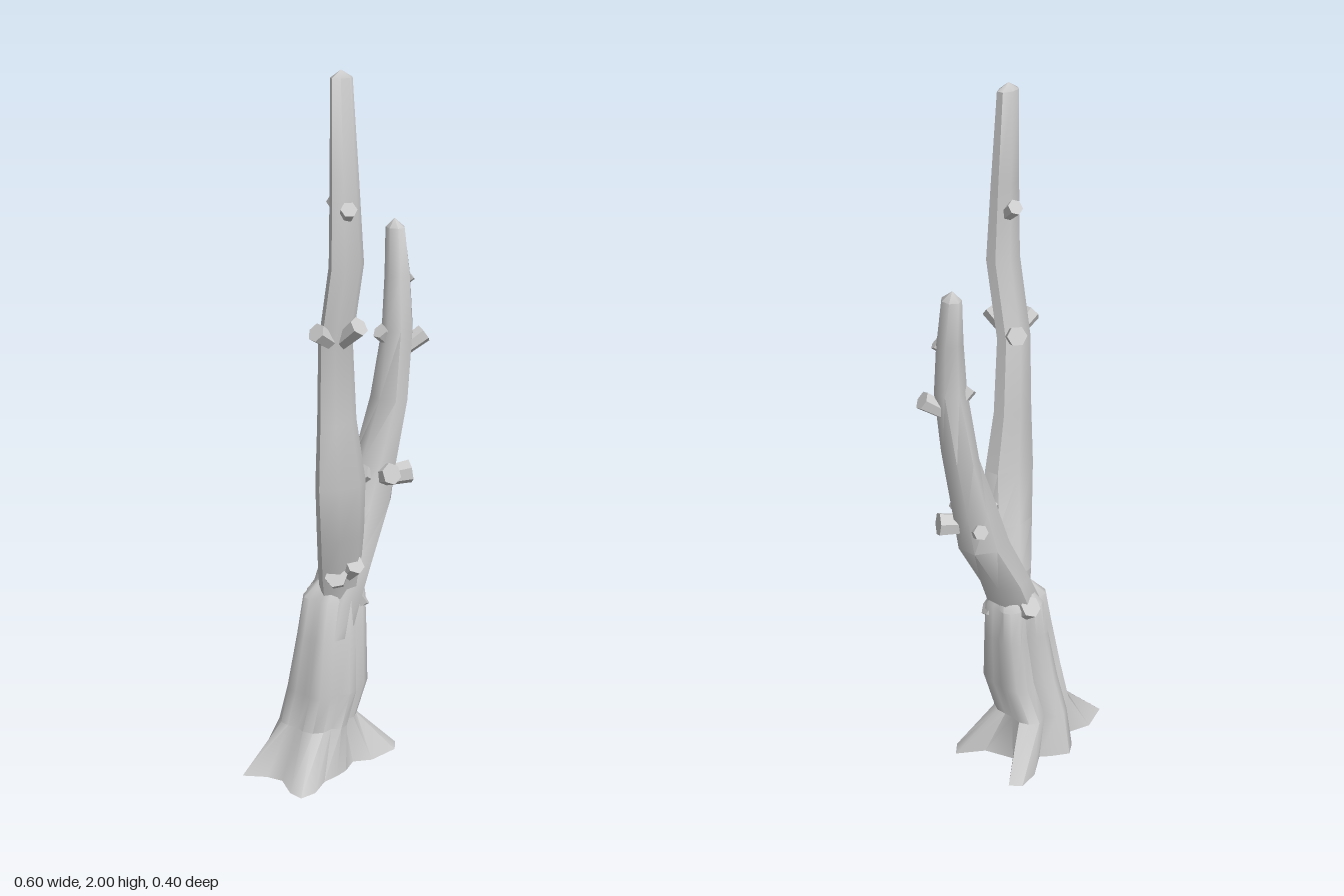
import * as THREE from 'three';
import { toCreasedNormals } from 'three/addons/utils/BufferGeometryUtils.js';

const bark = new THREE.MeshStandardMaterial({ color: 0xcccccc, side: THREE.DoubleSide });

// Skins a stack of closed rings (bottom to top) and closes the top to a point.
function loft(rings, top, crease) {
  const n = rings[0].length, pos = [], index = [];
  rings.forEach(r => r.forEach(p => pos.push(...p)));
  const t = pos.length / 3, last = t - n;
  pos.push(...top);
  for (let i = 0; i < n; i++) {
    const k = (i + 1) % n;
    for (let o = 0; o < last; o += n) {
      const u = o + n;
      index.push(o + i, u + i, o + k, o + k, u + i, u + k);
    }
    index.push(last + i, t, last + k);
  }
  const g = new THREE.BufferGeometry();
  g.setAttribute('position', new THREE.Float32BufferAttribute(pos, 3));
  g.setIndex(index);
  return toCreasedNormals(g, crease);
}

function add(group, name, geometry) {
  const m = new THREE.Mesh(geometry, bark);
  m.name = name;
  group.add(m);
  return m;
}

// Ground outline of the spreading roots: x, z, and how far the rib stands out above.
const ROOTS = [
  [0.1, 0.0, 0.92], [0.177, 0.045, 1], [0.145, 0.08, 1], [0.05, 0.09, 0.92],
  [0.0, 0.065, 0.72], [-0.05, 0.095, 0.92], [-0.09, 0.105, 0.96], [-0.14, 0.11, 0.86],
  [-0.2, 0.145, 1], [-0.25, 0.145, 1.05], [-0.255, 0.1, 1], [-0.23, 0.03, 0.86],
  [-0.25, -0.015, 0.94], [-0.3, -0.065, 1], [-0.22, -0.105, 0.97], [-0.135, -0.088, 0.76],
  [-0.12, -0.14, 0.95], [-0.085, -0.17, 1], [-0.035, -0.145, 0.94], [-0.005, -0.125, 0.74],
  [0.06, -0.18, 1], [0.12, -0.197, 1.05], [0.15, -0.17, 1.02], [0.06, -0.08, 0.9],
];

// Trunk levels: y, centre x, centre z, radius x, radius z
const TRUNK = [
  [0.13, -0.056, -0.03, 0.113, 0.116],
  [0.24, -0.04, -0.005, 0.121, 0.11],
  [0.4, -0.022, -0.007, 0.107, 0.088],
  [0.51, -0.01, -0.011, 0.094, 0.082],
  [0.56, 0.0, -0.005, 0.055, 0.05],
];

function trunkGeometry() {
  const rings = [ROOTS.map(([x, z]) => [x, 0, z])];
  for (const [y, cx, cz, rx, rz] of TRUNK) {
    rings.push(ROOTS.map(([, , w], i) => {
      const a = (i / ROOTS.length) * Math.PI * 2;
      return [cx + Math.cos(a) * rx * w, y, cz + Math.sin(a) * rz * w];
    }));
  }
  return loft(rings, [0, 0.58, -0.005], 0.8);
}

// Limb levels: y, centre x, centre z, radius x, radius z
const TALL = [
  [0.48, -0.005, 0.01, 0.06, 0.045], [0.58, -0.022, 0.03, 0.068, 0.048],
  [0.72, -0.052, 0.072, 0.076, 0.05], [0.88, -0.075, 0.1, 0.081, 0.049],
  [1.06, -0.085, 0.097, 0.062, 0.039], [1.28, -0.094, 0.103, 0.054, 0.034],
  [1.5, -0.095, 0.15, 0.054, 0.034], [1.72, -0.09, 0.135, 0.045, 0.027],
  [1.98, -0.085, 0.116, 0.034, 0.021],
];
const SHORT = [
  [0.4, -0.04, 0.015, 0.065, 0.062], [0.5, -0.008, -0.002, 0.077, 0.078],
  [0.6, 0.035, -0.007, 0.07, 0.08], [0.75, 0.115, -0.018, 0.077, 0.066],
  [0.88, 0.148, -0.017, 0.064, 0.064], [1.05, 0.195, -0.018, 0.046, 0.063],
  [1.25, 0.208, 0.002, 0.046, 0.044], [1.4, 0.222, -0.017, 0.037, 0.037],
  [1.53, 0.227, -0.035, 0.026, 0.03],
];

function limbGeometry(levels, tip) {
  const sides = 7;
  const rings = levels.map(([y, cx, cz, rx, rz]) =>
    Array.from({ length: sides }, (_, i) => {
      const a = ((i + 0.3) / sides) * Math.PI * 2;
      return [cx + Math.cos(a) * rx, y, cz + Math.sin(a) * rz];
    }));
  return loft(rings, tip, 0.95);
}

// Broken twig stubs: start, end, end radius
const STUBS = [
  [[-0.09, 1.62, 0.14], [-0.115, 1.655, 0.186], 0.022],
  [[-0.09, 1.62, 0.14], [-0.085, 1.665, 0.085], 0.022],
  [[-0.09, 1.28, 0.11], [-0.075, 1.34, 0.18], 0.028],
  [[-0.1, 1.28, 0.11], [-0.168, 1.325, 0.115], 0.027],
  [[-0.085, 1.28, 0.1], [-0.05, 1.315, 0.035], 0.028],
  [[-0.03, 0.56, 0.03], [-0.07, 0.6, 0.075], 0.032],
  [[-0.02, 0.57, 0.03], [-0.018, 0.63, 0.095], 0.03],
  [[0.02, 0.46, 0.0], [0.065, 0.495, 0.028], 0.033],
  [[0.0, 0.46, -0.02], [0.0, 0.52, -0.088], 0.032],
  [[0.14, 0.82, -0.02], [0.135, 0.855, 0.068], 0.032],
  [[0.15, 0.82, -0.01], [0.235, 0.832, 0.03], 0.034],
  [[0.14, 0.81, -0.01], [0.072, 0.855, 0.003], 0.03],
  [[0.16, 0.81, -0.03], [0.175, 0.835, -0.083], 0.022],
  [[0.21, 1.18, 0.0], [0.28, 1.232, 0.03], 0.027],
  [[0.21, 1.2, -0.01], [0.16, 1.25, -0.015], 0.027],
  [[0.22, 1.37, -0.015], [0.25, 1.4, 0.006], 0.018],
];

function addStub(group, [from, to, r]) {
  const a = new THREE.Vector3(...from), b = new THREE.Vector3(...to);
  const dir = b.clone().sub(a);
  const g = new THREE.CylinderGeometry(r, r * 0.8, dir.length(), 6);
  const m = add(group, 'twigStub', toCreasedNormals(g, 0.6));
  m.position.copy(a).lerp(b, 0.5);
  m.quaternion.setFromUnitVectors(new THREE.Vector3(0, 1, 0), dir.normalize());
}

export function createModel() {
  const tree = new THREE.Group();
  tree.name = 'deadTree';
  add(tree, 'trunkAndRoots', trunkGeometry());
  add(tree, 'tallLimb', limbGeometry(TALL, [-0.085, 2, 0.115]));
  add(tree, 'shortLimb', limbGeometry(SHORT, [0.226, 1.555, -0.038]));
  const stubs = new THREE.Group();
  stubs.name = 'twigStubs';
  STUBS.forEach(s => addStub(stubs, s));
  tree.add(stubs);
  return tree;
}
